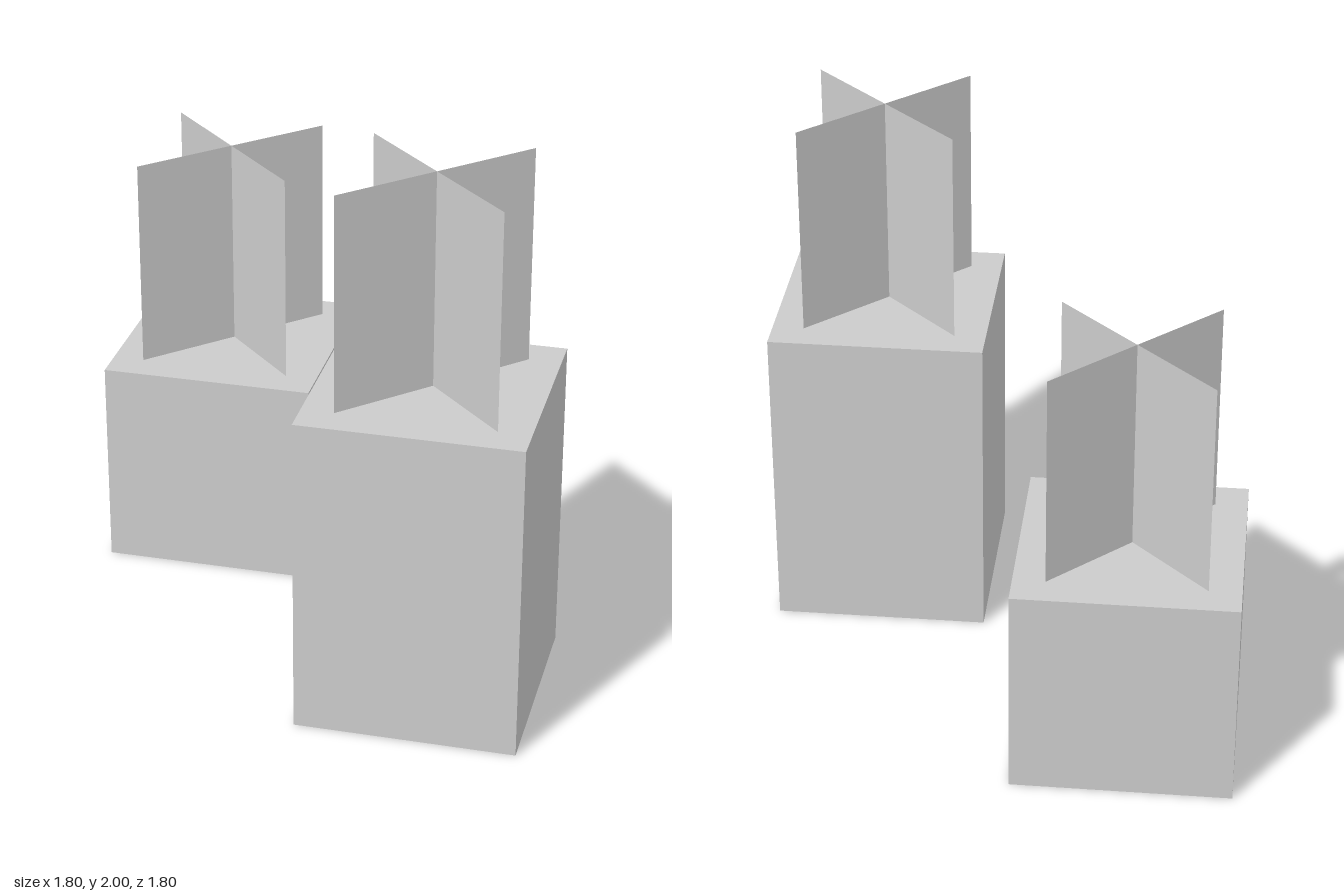
import * as THREE from 'three';

const SIZE = 0.8; // block width, also plant width and height

export function createModel() {
  const model = new THREE.Group();
  const blockMaterial = new THREE.MeshStandardMaterial({ color: 0xcccccc, flatShading: true });
  const plantMaterial = new THREE.MeshStandardMaterial({
    color: 0xcccccc, flatShading: true, side: THREE.DoubleSide,
  });

  // A block with two crossed upright sheets standing on its diagonals
  function addPlantedBlock(name, x, z, height) {
    const group = new THREE.Group();
    group.name = name;
    group.position.set(x, 0, z);

    const block = new THREE.Mesh(new THREE.BoxGeometry(SIZE, height, SIZE), blockMaterial);
    block.name = 'block';
    block.position.y = height / 2;
    group.add(block);

    const plant = new THREE.Group();
    plant.name = 'crossedPlant';
    plant.position.y = height + SIZE / 2;
    for (const side of [-1, 1]) {
      const sheet = new THREE.Mesh(new THREE.PlaneGeometry(SIZE, SIZE), plantMaterial);
      sheet.name = side < 0 ? 'plantSheetA' : 'plantSheetB';
      sheet.rotation.y = side * Math.PI / 4;
      plant.add(sheet);
    }
    group.add(plant);
    model.add(group);
  }

  addPlantedBlock('tallPlantedBlock', 0.5, 0.5, 1.2);
  addPlantedBlock('shortPlantedBlock', -0.5, -0.5, 0.8);
  return model;
}
